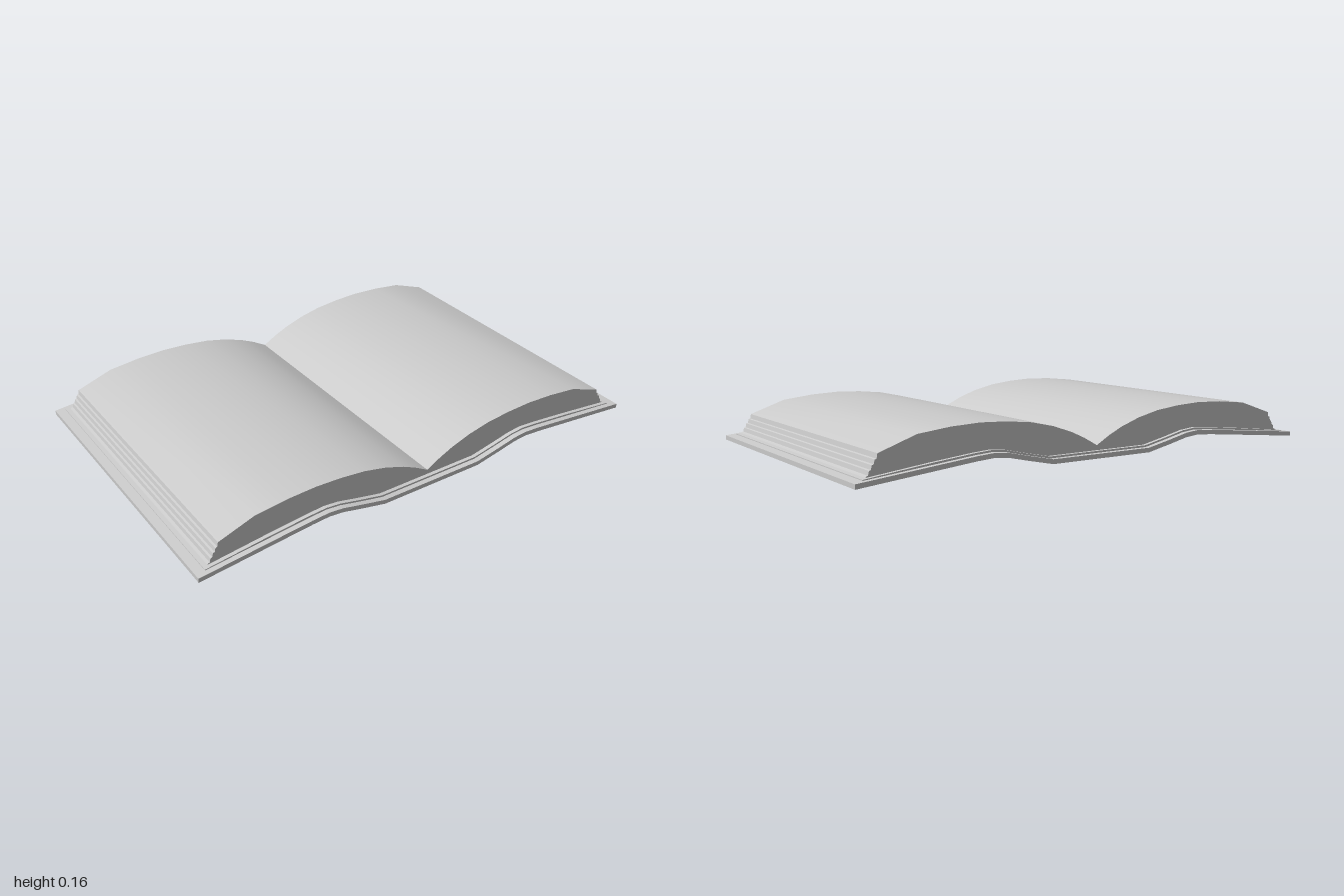
import * as THREE from 'three';
import { toCreasedNormals } from 'three/addons/utils/BufferGeometryUtils.js';

const material = new THREE.MeshStandardMaterial({ color: 0xcccccc });

// Wavy base line of one half of the open book, spine to fore edge: [u, y]
const WAVE = [[0, 0.003], [0.19, 0.003], [0.28, 0.022], [0.35, 0.038], [0.4, 0.043], [0.46, 0.039], [0.6, 0.025]];

// The wave out to a given edge, lifted by dy
const wave = (edge, dy) => [...WAVE, [edge, 0]].map(([u, y]) => [u, y + dy]);

// Mirror a half line (starting at the spine) into a full line from -u to +u
const mirror = (half) => [...half.slice(1).reverse().map(([u, y]) => [-u, y]), ...half];

// Extrude the outline between a lower and an upper line along the spine
function slab(name, lower, upper, width) {
  const points = [...mirror(lower), ...mirror(upper).reverse()].map(([u, y]) => new THREE.Vector2(u, y));
  const geometry = new THREE.ExtrudeGeometry(new THREE.Shape(points), { depth: width, bevelEnabled: false });
  geometry.translate(0, 0, -width / 2);
  const mesh = new THREE.Mesh(toCreasedNormals(geometry, 0.5), material);
  mesh.name = name;
  return mesh;
}

export function createModel() {
  const book = new THREE.Group();
  book.name = 'openBook';

  // Hard cover and the endpaper lying on it
  book.add(slab('cover', wave(0.849, 0), wave(0.849, 0.015), 1.082));
  book.add(slab('endpaper', wave(0.818, 0.014), wave(0.818, 0.021), 1.046));

  // Page block: arched top, then a fore edge stepping outwards to the cover
  const top = [[0, 0.04], [0.05, 0.068], [0.1, 0.091], [0.17, 0.115], [0.25, 0.133], [0.34, 0.143],
    [0.43, 0.147], [0.53, 0.143], [0.64, 0.131], [0.765, 0.088]];
  const steps = 4;
  for (let i = 1; i <= steps; i++) {
    const y = 0.088 - i * 0.015;
    const u = 0.765 + i * 0.009;
    top.push([u - 0.006, y], [u, y - 0.002]);
  }
  book.add(slab('pages', wave(0.805, 0.02), top, 1.02));

  // Turned on the ground, with a very slight tilt along the spine
  book.rotation.set(0.0095, 0.882, 0, 'YXZ');
  book.position.y = 0.0052;

  const model = new THREE.Group();
  model.add(book);
  return model;
}
